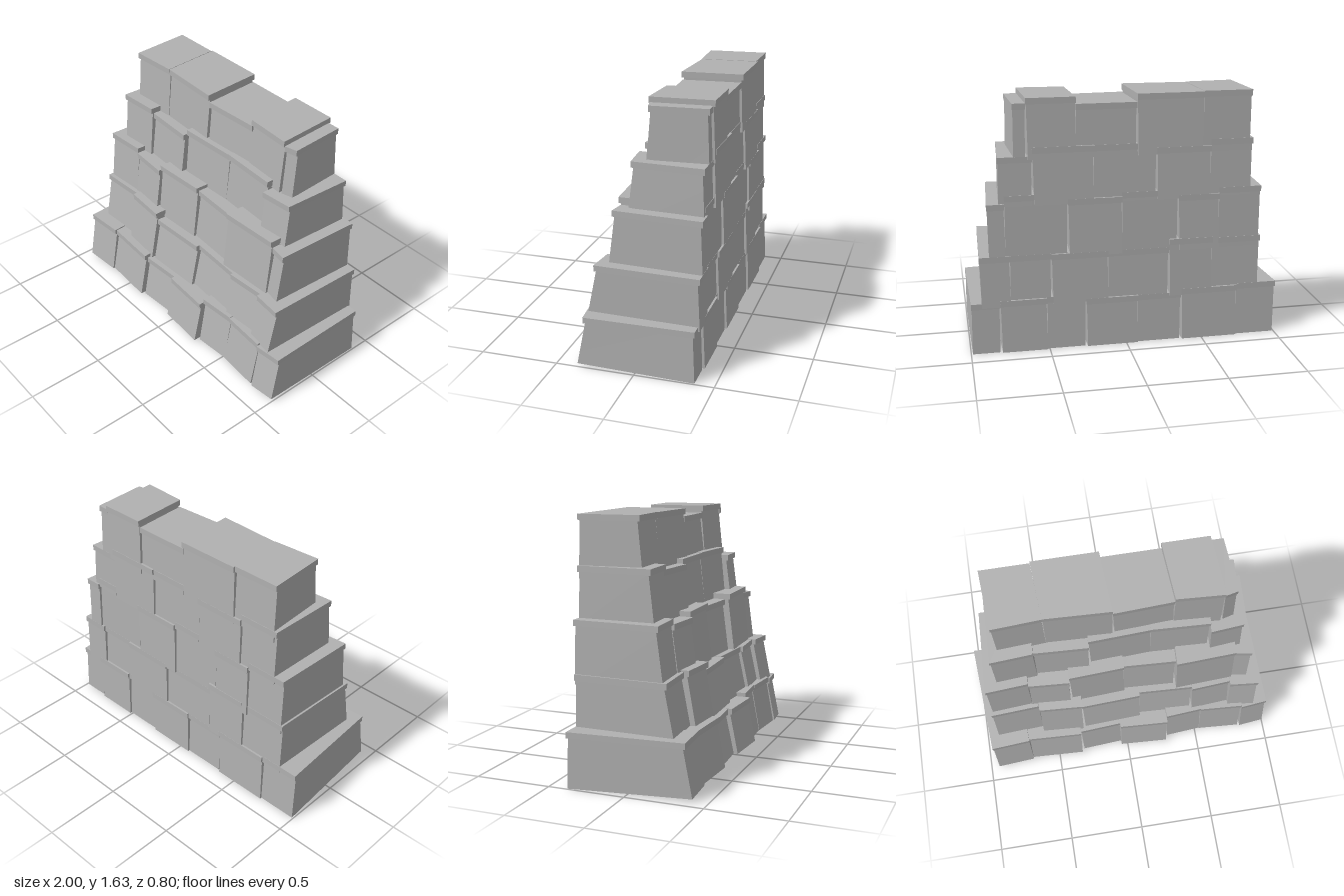
import * as THREE from 'three';

const CAP = 0.038; // thickness of the slab on top of each block

// Six-sided stone from a box: a rule places each corner by its side.
function stone(material, name, corner) {
  const geometry = new THREE.BoxGeometry(2, 2, 2);
  const p = geometry.attributes.position;
  for (let i = 0; i < p.count; i++) {
    p.setXYZ(i, ...corner(p.getX(i) > 0, p.getY(i) > 0, p.getZ(i) > 0));
  }
  geometry.computeVertexNormals();
  const mesh = new THREE.Mesh(geometry, material);
  mesh.name = name;
  return mesh;
}

// Block between two seams: a leaning body under a slab with a small overhang.
function block(material, { x0, x1, top, front, turn, y, lean, skew }) {
  const group = new THREE.Group();
  group.name = 'block';
  const seat = top - CAP;
  const back = -0.382 - turn * 0.006;
  const frontZ = (right) => front + (right ? turn : -turn) * 0.009;
  const backShift = (x) => THREE.MathUtils.lerp(skew[0], skew[1], (x + 1) / 2);

  group.add(stone(material, 'blockBody', (right, up, isFront) => {
    let x = right ? x1 - 0.004 : x0 + 0.004;
    if (!up) x -= turn * 0.004;
    if (!isFront) x += backShift(x);
    const z = isFront ? frontZ(right) - (up ? lean + 0.014 : 0) : back + (up ? 0.012 : 0);
    return [x, up ? seat : y - (isFront ? 0 : 0.022), z];
  }));

  group.add(stone(material, 'blockCap', (right, up, isFront) => {
    let x = right ? x1 : x0;
    if (!isFront) x += backShift(x);
    return [x, up ? top : seat, isFront ? frontZ(right) - lean : back];
  }));
  return group;
}

// Row of blocks from the left end onwards; each has [right seam, top, front].
function course(material, name, y, lean, left, skew, blocks) {
  const group = new THREE.Group();
  group.name = name;
  let x0 = left;
  blocks.forEach(([x1, top, front], i) => {
    const turn = i % 2 ? 1 : -1; // neighbours turn opposite ways
    group.add(block(material, { x0, x1, top, front, turn, y, lean, skew }));
    x0 = x1;
  });
  return group;
}

export function createModel() {
  const model = new THREE.Group();
  model.name = 'stoneWall';
  const stoneGrey = new THREE.MeshStandardMaterial({ color: 0xb0b0b0 });
  stoneGrey.name = 'stoneGrey';

  // courses from the ground up, each set back from the one below
  model.add(
    course(stoneGrey, 'firstCourse', 0.032, 0.042, -0.95, [-0.05, -0.008], [
      [-0.69, 0.365, 0.4], [-0.325, 0.358, 0.388], [-0.045, 0.333, 0.365], [0.285, 0.335, 0.393],
      [0.53, 0.362, 0.36], [0.82, 0.358, 0.363], [0.998, 0.345, 0.37],
    ]),
    course(stoneGrey, 'secondCourse', 0.34, 0.045, -0.9, [0.02, 0.02], [
      [-0.58, 0.69, 0.268], [-0.295, 0.7, 0.302], [0.1, 0.645, 0.288],
      [0.46, 0.648, 0.265], [0.72, 0.65, 0.283], [0.91, 0.653, 0.31],
    ]),
    course(stoneGrey, 'thirdCourse', 0.648, 0.028, -0.895, [0.02, 0.03], [
      [-0.62, 1.022, 0.2], [-0.355, 0.988, 0.205], [0.005, 1.022, 0.188],
      [0.345, 0.998, 0.17], [0.735, 1.035, 0.207], [0.845, 0.988, 0.193],
    ]),
    course(stoneGrey, 'fourthCourse', 0.99, 0.018, -0.82, [0.01, 0.025], [
      [-0.55, 1.337, 0.113], [-0.205, 1.3, 0.095], [0.19, 1.33, 0.068],
      [0.565, 1.333, 0.068], [0.775, 1.277, 0.103],
    ]),
    course(stoneGrey, 'topCourse', 1.28, 0.015, -0.77, [-0.025, -0.02], [
      [-0.46, 1.642, 0.02], [-0.04, 1.64, 0.018], [0.338, 1.588, 0.01],
      [0.64, 1.635, 0.015], [0.72, 1.602, 0.008],
    ]),
  );
  return model;
}
